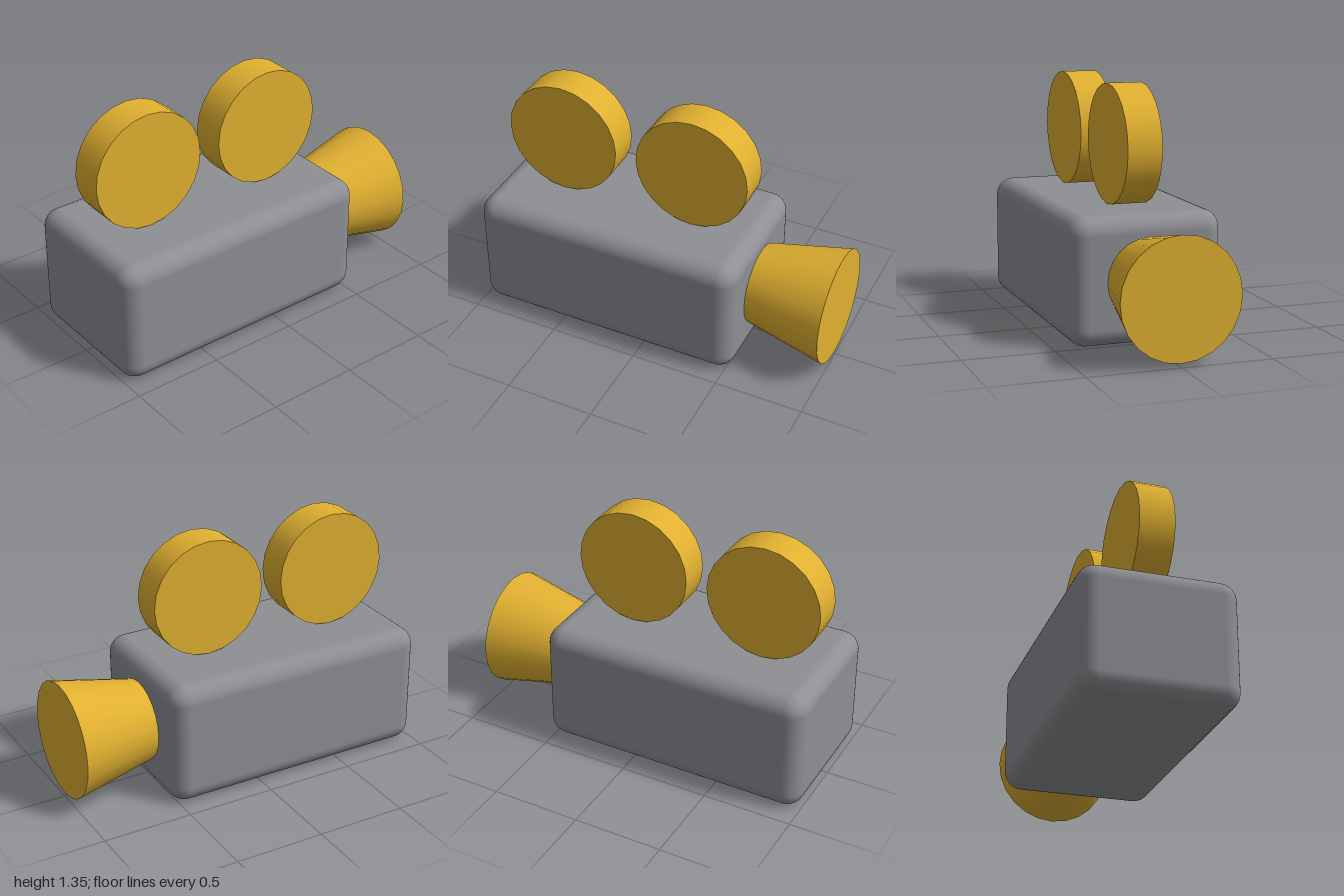
import * as THREE from 'three';
import { RoundedBoxGeometry } from 'three/addons/geometries/RoundedBoxGeometry.js';

export function createModel() {
  const group = new THREE.Group();
  group.name = 'movieCamera';
  const grey = new THREE.MeshStandardMaterial({ name: 'bodyGrey', color: 0x8e8f94 });
  const gold = new THREE.MeshStandardMaterial({ name: 'gold', color: 0xe0b030 });

  const add = (name, geometry, material, x, y, z) => {
    const mesh = new THREE.Mesh(geometry, material);
    mesh.name = name;
    mesh.position.set(x, y, z);
    group.add(mesh);
    return mesh;
  };

  // Rounded camera body
  add('body', new RoundedBoxGeometry(0.842, 0.692, 1.54, 5, 0.098), grey, 0, 0.346, 0.23);

  // Two film reels resting on top, axles running side to side
  const reel = new THREE.CylinderGeometry(0.326, 0.326, 0.192, 24).rotateZ(Math.PI / 2);
  add('frontReel', reel, gold, 0, 1.02, 0.617);
  add('backReel', reel, gold, 0, 1.02, -0.155);

  // Flared lens, widening towards -z, its narrow end sunk slightly into the body
  const lens = new THREE.CylinderGeometry(0.326, 0.224, 0.48, 24).rotateX(-Math.PI / 2);
  add('lens', lens, gold, 0, 0.348, -0.76);

  return group;
}
